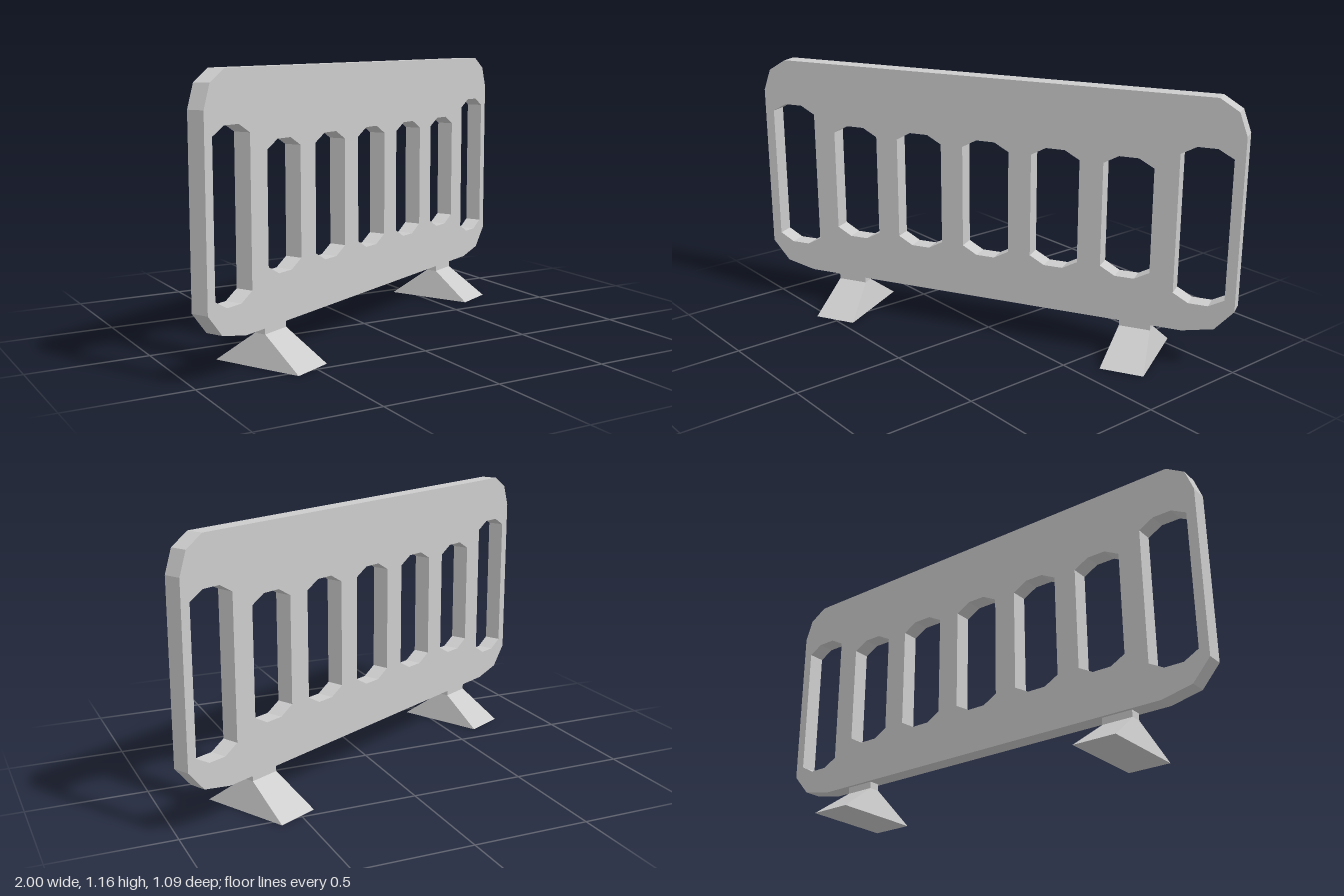
import * as THREE from 'three';

const THICKNESS = 0.076;
const material = new THREE.MeshStandardMaterial({ color: 0xcccccc, flatShading: true });

// Closed outline from the right half (listed bottom to top), mirrored about x = cx
function mirroredOutline(PathType, half, cx = 0) {
  const right = half.map(([x, y]) => new THREE.Vector2(cx + x, y));
  const left = half.map(([x, y]) => new THREE.Vector2(cx - x, y)).reverse();
  return new PathType([...right, ...left]);
}

// Flat board with chamfered corners and seven upright slots
function createPanel() {
  const shape = mirroredOutline(THREE.Shape, [
    [0.893, 0.16], [1.03, 0.19], [1.109, 0.28],
    [1.109, 1.02], [1.074, 1.115], [0.992, 1.165],
  ]);
  for (let i = -3; i <= 3; i++) {
    const outer = Math.abs(i) === 3;
    const bottom = outer ? 0.288 : 0.36;
    const top = outer ? 0.96 : 0.887;
    shape.holes.push(mirroredOutline(THREE.Path, [
      [0.042, bottom], [0.108, bottom + 0.036],
      [0.108, top - 0.036], [0.042, top],
    ], i * 0.3193));
  }
  const geometry = new THREE.ExtrudeGeometry(shape, { depth: THICKNESS, bevelEnabled: false });
  geometry.translate(0, 0, -THICKNESS / 2);
  const panel = new THREE.Mesh(geometry, material);
  panel.name = 'barrierPanel';
  return panel;
}

// Foot: wide base tapering to a short straight neck under the panel
function createFoot(x, name) {
  const rows = [
    { y: 0, w: 0.19, d: 0.405 },
    { y: 0.13, w: 0.137, d: 0.05 },
    { y: 0.16, w: 0.137, d: 0.05 },
  ];
  const box = new THREE.BoxGeometry(1, 1, 1, 1, 2, 1);
  const pos = box.attributes.position;
  for (let i = 0; i < pos.count; i++) {
    const row = rows[Math.round((pos.getY(i) + 0.5) * 2)];
    pos.setXYZ(i, pos.getX(i) * row.w, row.y, pos.getZ(i) * row.d);
  }
  const geometry = box.toNonIndexed();
  geometry.computeVertexNormals();
  const foot = new THREE.Mesh(geometry, material);
  foot.position.x = x;
  foot.name = name;
  return foot;
}

export function createModel() {
  const barrier = new THREE.Group();
  barrier.name = 'barrier';
  barrier.add(createPanel(), createFoot(0.689, 'leftFoot'), createFoot(-0.689, 'rightFoot'));
  // The barrier stands turned about the vertical axis
  barrier.rotation.y = THREE.MathUtils.degToRad(27.6);

  const model = new THREE.Group();
  model.name = 'roadBarrier';
  model.add(barrier);
  return model;
}
